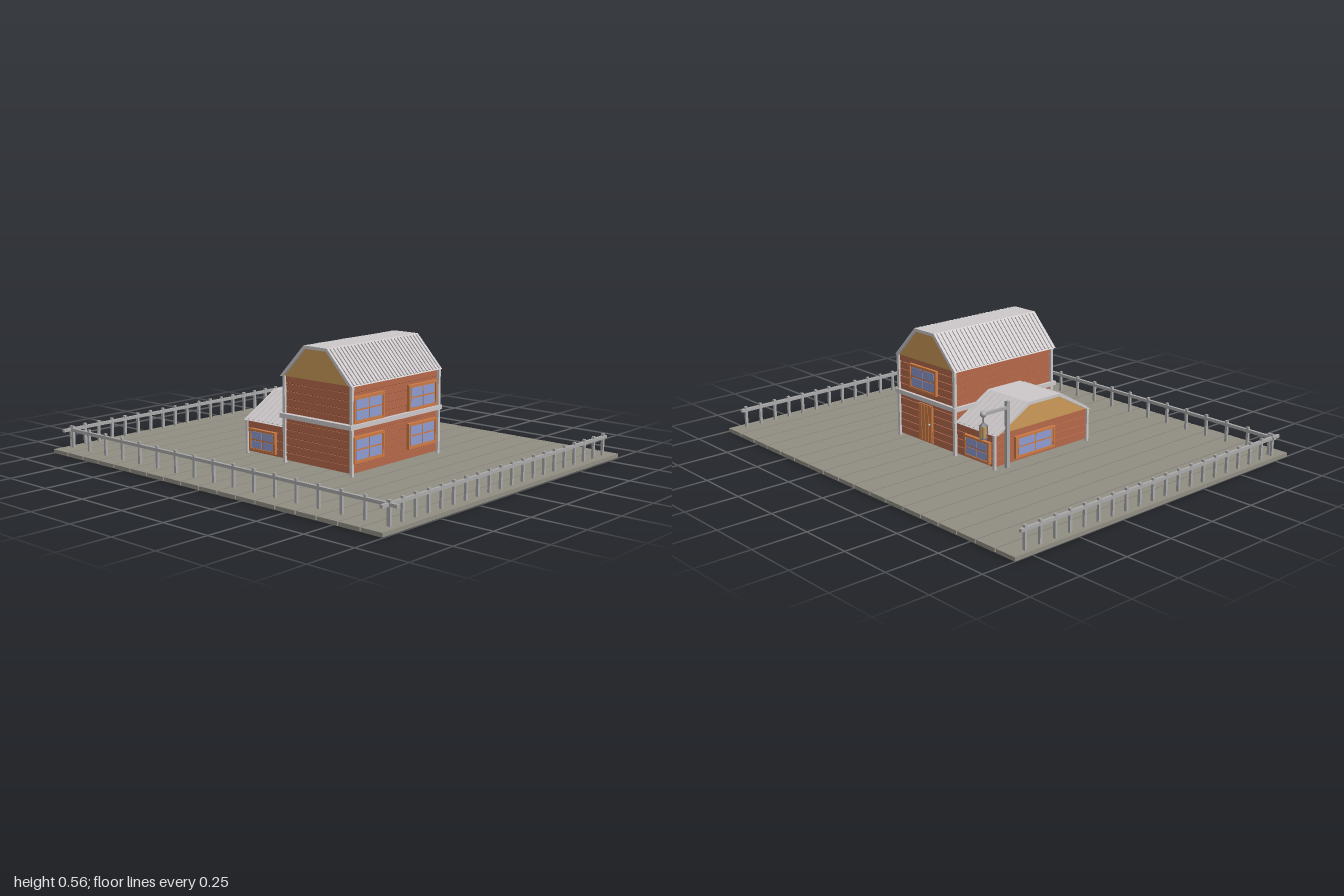
import * as THREE from 'three';

const mat = (name, color) => Object.assign(new THREE.MeshStandardMaterial({ color }), { name });

export function createModel() {
  const M = {
    ground: mat('weathered plank', 0x918d83),
    fence: mat('fence grey', 0xa9a9a9),
    wall: mat('red brown siding', 0xb5694a),
    gap: mat('dark siding gap', 0x6b3a28),
    trim: mat('orange wood', 0xcb7a45),
    glass: mat('blue glass', 0x8f9bd0),
    tan: mat('tan gable', 0xcc9a58),
    roof: mat('pale roof', 0xcdc8ca),
    iron: mat('lamp iron', 0x77777a),
  };
  const root = new THREE.Group();
  root.name = 'farmhouse';

  const group = (name, parent = root) => {
    const g = new THREE.Group();
    g.name = name;
    parent.add(g);
    return g;
  };
  const add = (parent, name, geo, material, x = 0, y = 0, z = 0) => {
    const m = new THREE.Mesh(geo, material);
    m.name = name;
    m.position.set(x, y, z);
    parent.add(m);
    return m;
  };
  // Box given by its minimum and maximum corners
  const box = (parent, name, material, x0, x1, y0, y1, z0, z1) =>
    add(parent, name, new THREE.BoxGeometry(x1 - x0, y1 - y0, z1 - z0), material,
      (x0 + x1) / 2, (y0 + y1) / 2, (z0 + z1) / 2);

  // Plank ground
  const ground = group('plankGround');
  for (let i = 0; i < 18; i++) {
    const z = -1 + i * 0.1112;
    box(ground, 'groundPlank', M.ground, -0.84, 0.84, 0, 0.018, z, z + 0.1045);
  }

  // Fence run along local x, with posts and one top rail
  function fence(name, from, to, first, step) {
    const g = group(name);
    box(g, 'rail', M.fence, from, to, 0.095, 0.109, -0.007, 0.007);
    for (let x = first; x < to; x += step)
      box(g, 'post', M.fence, x - 0.006, x + 0.006, 0.015, 0.12, -0.006, 0.006);
    return g;
  }
  fence('frontFence', -0.80, 0.79, -0.755, 0.08).position.z = 0.955;
  fence('backFence', -0.80, 0.79, -0.755, 0.08).position.z = -0.975;
  const side = fence('sideFence', -0.99, 1, -0.96, 0.12);
  side.rotation.y = -Math.PI / 2;
  side.position.x = -0.755;

  // Walls: dark core with siding boards standing slightly proud
  function walls(parent, x0, x1, y0, y1, z0, z1, rows) {
    const d = 0.006, h = (y1 - y0) / rows;
    box(parent, 'wallCore', M.gap, x0 + d, x1 - d, y0, y1, z0 + d, z1 - d);
    for (let i = 0; i < rows; i++)
      box(parent, 'sidingBoard', M.wall, x0, x1, y0 + i * h, y0 + (i + 1) * h - 0.003, z0, z1);
  }

  // Four-pane window facing local +z
  function windowUnit(parent, name, w, h, x, y, z, turn = 0) {
    const g = group(name, parent);
    g.position.set(x, y, z);
    g.rotation.y = turn;
    box(g, 'frame', M.trim, -w / 2, w / 2, -h / 2, h / 2, -0.006, 0.01);
    const pw = w * 0.4, ph = h * 0.34;
    for (const sx of [-1, 1]) for (const sy of [-1, 1])
      add(g, 'pane', new THREE.BoxGeometry(pw, ph, 0.004), M.glass,
        sx * (pw / 2 + 0.004), sy * (ph / 2 + 0.004), 0.0105);
    // raised rim
    for (const s of [-1, 1]) {
      add(g, 'rimRail', new THREE.BoxGeometry(w, 0.01, 0.008), M.trim, 0, s * (h / 2 - 0.005), 0.011);
      add(g, 'rimStile', new THREE.BoxGeometry(0.01, h, 0.008), M.trim, s * (w / 2 - 0.005), 0, 0.011);
    }
  }

  // Flat-topped roof, ridge along local z, with gable infill and battens
  function gambrel(parent, name, half, top, rise, length, pitch) {
    const g = group(name, parent);
    const t = 0.014;
    const pts = list => new THREE.Shape(list.map(p => new THREE.Vector2(...p)));
    const extrude = (shape, depth) => new THREE.ExtrudeGeometry(shape, { depth, bevelEnabled: false })
      .translate(0, 0, -depth / 2);
    add(g, 'roofShell', extrude(pts([
      [-half, 0], [-half + t * 1.4, 0], [-top + t * 0.4, rise - t], [top - t * 0.4, rise - t],
      [half - t * 1.4, 0], [half, 0], [top, rise], [-top, rise],
    ]), length), M.roof);
    add(g, 'gableInfill', extrude(pts([
      [-half + t, 0], [half - t, 0], [top - t * 0.3, rise - t * 0.8], [-top + t * 0.3, rise - t * 0.8],
    ]), length - 0.024), M.tan);
    const run = half - top, slope = Math.hypot(run, rise), angle = Math.atan2(rise, run);
    const count = Math.floor((length - 0.03) / pitch);
    for (const s of [-1, 1]) for (let i = 0; i <= count; i++)
      add(g, 'roofBatten', new THREE.BoxGeometry(slope * 0.94, 0.01, 0.008), M.roof,
        s * (half + top) / 2, rise / 2, (i - count / 2) * pitch).rotation.z = -s * angle;
    return g;
  }

  // Main house
  const house = group('mainHouse');
  walls(house, -0.30, 0.29, 0.03, 0.415, -0.02, 0.37, 11);
  box(house, 'middleBand', M.roof, -0.325, 0.305, 0.225, 0.245, -0.035, 0.387);
  for (const x of [-0.303, 0.293]) for (const z of [-0.022, 0.373])
    box(house, 'cornerPost', M.roof, x - 0.007, x + 0.007, 0.018, 0.415, z - 0.007, z + 0.007);
  const mainRoof = gambrel(house, 'mainRoof', 0.212, 0.068, 0.15, 0.62, 0.0225);
  mainRoof.rotation.y = Math.PI / 2;
  mainRoof.position.set(-0.005, 0.41, 0.172);
  for (const y of [0.307, 0.133]) {
    windowUnit(house, 'frontWindow', 0.2, 0.118, -0.199, y, 0.37);
    windowUnit(house, 'frontWindow', 0.2, 0.118, 0.169, y, 0.37);
  }
  windowUnit(house, 'sideWindow', 0.19, 0.118, 0.29, 0.328, 0.19, Math.PI / 2);

  // Door on the left side
  const door = group('door', house);
  box(door, 'doorLeaf', M.trim, 0.286, 0.298, 0.035, 0.212, 0.132, 0.228);
  for (let i = 0; i < 4; i++)
    box(door, 'doorBoard', M.trim, 0.297, 0.301, 0.04, 0.207, 0.136 + i * 0.0225, 0.155 + i * 0.0225);
  add(door, 'doorKnob', new THREE.SphereGeometry(0.005, 10, 8), M.roof, 0.304, 0.125, 0.145);

  // Rear extension
  const ext = group('rearExtension');
  walls(ext, -0.285, 0.285, 0.03, 0.178, -0.275, -0.015, 4);
  const extRoof = gambrel(ext, 'extensionRoof', 0.295, 0.097, 0.115, 0.265, 0.031);
  extRoof.position.set(-0.004, 0.175, -0.155);
  for (const x of [-0.287, 0.287])
    box(ext, 'cornerPost', M.roof, x - 0.006, x + 0.006, 0.018, 0.178, -0.283, -0.271);
  for (const s of [-1, 1])
    windowUnit(ext, 'extensionSideWindow', 0.165, 0.1, s * 0.285, 0.09, -0.172, s * Math.PI / 2);
  windowUnit(ext, 'extensionBackWindow', 0.24, 0.1, 0.05, 0.095, -0.275, Math.PI);

  // Lamp post with a hanging lantern
  const lamp = group('lampPost');
  const z = -0.292;
  const round = (name, r0, r1, h, material, x, y, sides = 10) =>
    add(lamp, name, new THREE.CylinderGeometry(r0, r1, h, sides), material, x, y, z);
  box(lamp, 'post', M.fence, 0.217, 0.233, 0.015, 0.325, z - 0.008, z + 0.008);
  box(lamp, 'arm', M.fence, 0.22, 0.37, 0.289, 0.302, z - 0.006, z + 0.006);
  add(lamp, 'armKnob', new THREE.SphereGeometry(0.015, 12, 10), M.fence, 0.364, 0.296, z);
  round('hangingRod', 0.003, 0.003, 0.05, M.iron, 0.364, 0.272, 6);
  round('lanternCap', 0.006, 0.02, 0.014, M.iron, 0.364, 0.25);
  round('lanternBody', 0.016, 0.014, 0.054, M.tan, 0.364, 0.217);
  round('lanternBase', 0.018, 0.018, 0.006, M.iron, 0.364, 0.188);
  for (let i = 0; i < 4; i++) {
    const a = Math.PI / 4 + i * Math.PI / 2;
    const bar = round('lanternBar', 0.002, 0.002, 0.056, M.iron, 0.364 + Math.cos(a) * 0.017, 0.217, 6);
    bar.position.z += Math.sin(a) * 0.017;
  }
  return root;
}
